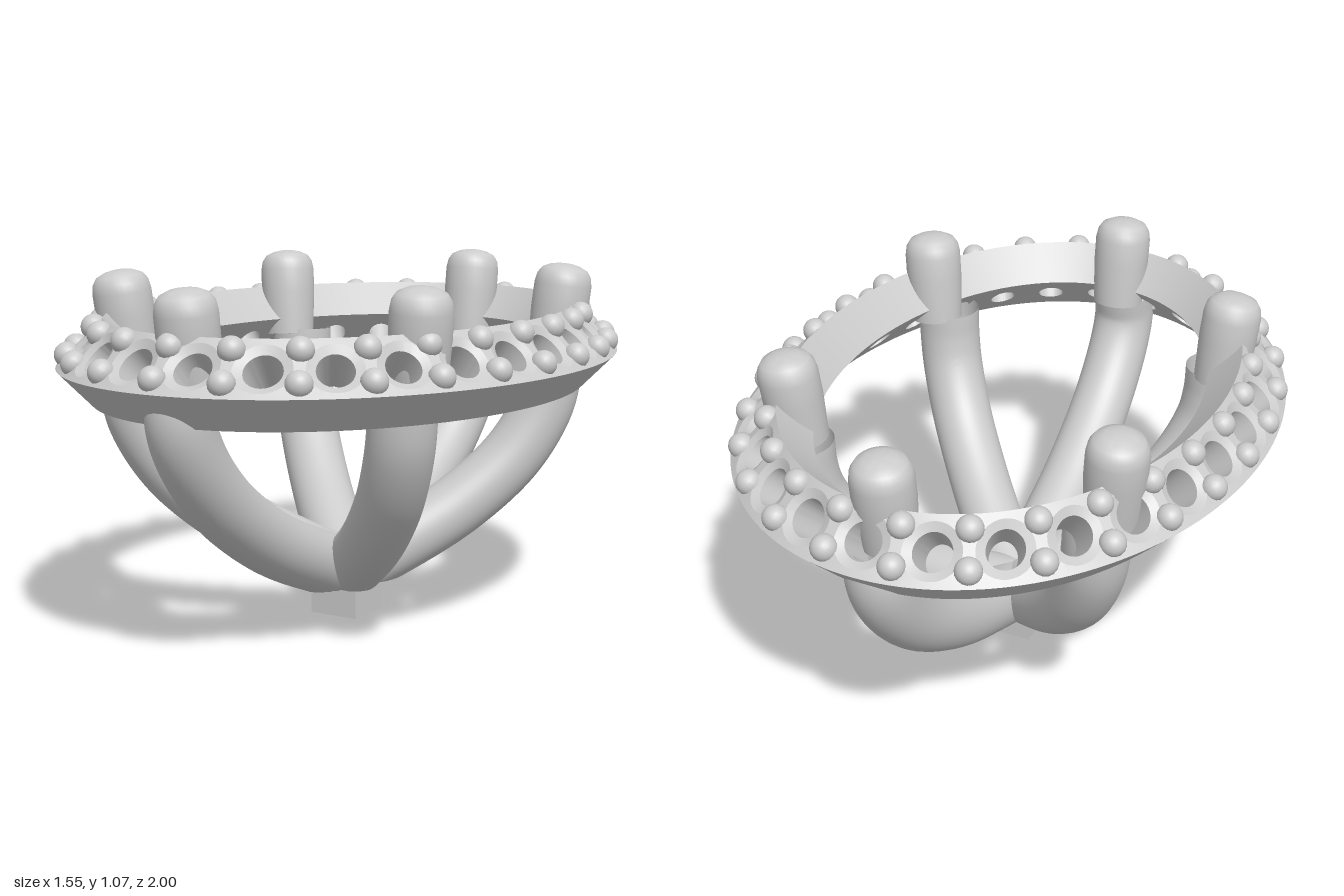
import * as THREE from 'three';
import { toCreasedNormals } from 'three/addons/utils/BufferGeometryUtils.js';

const A = 0.775, B = 1.0;            // half axes of the widest edge of the halo
const CELLS = 27;                    // gem seats around the halo
const UP = new THREE.Vector3(0, 1, 0);
const material = new THREE.MeshStandardMaterial({ color: 0xcccccc, side: THREE.DoubleSide });

// Table of equal arc-length angles on the middle ellipse, measured from the front
const STEPS = 2000;
const arc = [0];
for (let i = 1; i <= STEPS; i++) {
  const t = ((i - 0.5) / STEPS) * Math.PI * 2;
  arc.push(arc[i - 1] + Math.hypot((A - 0.07) * Math.cos(t), (B - 0.07) * Math.sin(t)) * Math.PI * 2 / STEPS);
}
const LENGTH = arc[STEPS];

function angleAt(fraction) {
  const turns = Math.floor(fraction);
  const s = (fraction - turns) * LENGTH;
  let lo = 0, hi = STEPS;
  while (hi - lo > 1) {
    const mid = (lo + hi) >> 1;
    if (arc[mid] <= s) lo = mid; else hi = mid;
  }
  return (turns + (lo + (s - arc[lo]) / (arc[hi] - arc[lo])) / STEPS) * Math.PI * 2;
}

// Point on the halo: w runs up the sloping face, h runs into the metal
function haloPoint(fraction, w, h) {
  const t = angleAt(fraction);
  const d = 0.07 + (w + h) * Math.SQRT1_2;
  return new THREE.Vector3((A - d) * Math.sin(t), 0.88 + (w - h) * Math.SQRT1_2, (B - d) * Math.cos(t));
}

function haloNormal(fraction) {
  const t = angleAt(fraction);
  return new THREE.Vector3(Math.sin(t) / A, 0, Math.cos(t) / B).normalize().add(UP).normalize();
}

function add(parent, name, geometry) {
  const mesh = new THREE.Mesh(geometry, material);
  mesh.name = name;
  parent.add(mesh);
  return mesh;
}

// Halo band: each cell is a block with a shallow seat and a through hole
function haloGeometry() {
  const N = 32, HALF = 0.099, DEPTH = 0.1414;
  const loops = [[0, 0], [0, 0.08], [0.012, 0.054], [DEPTH, 0.046], [DEPTH, 0]]; // [depth, radius], 0 = cell border
  const positions = [], indices = [];
  for (let c = 0; c < CELLS; c++) {
    const start = positions.length / 3;
    for (const [h, r] of loops) {
      for (let j = 0; j < N; j++) {
        const u = Math.cos(j / N * Math.PI * 2), v = Math.sin(j / N * Math.PI * 2);
        const m = Math.max(Math.abs(u), Math.abs(v));
        const f = r ? r * u / LENGTH : 0.5 * u / m / CELLS;
        const p = haloPoint((c + 0.5) / CELLS + f, r ? r * v : HALF * v / m, h);
        positions.push(p.x, p.y, p.z);
      }
    }
    for (let k = 0; k < loops.length; k++) {
      for (let j = 0; j < N; j++) {
        // the last loop joins the first only along the two long walls
        if (k === loops.length - 1 && !(j % 16 >= 4 && j % 16 < 12)) continue;
        const k2 = (k + 1) % loops.length, j2 = (j + 1) % N;
        const a = start + k * N + j, b = start + k * N + j2;
        const e = start + k2 * N + j2, d = start + k2 * N + j;
        indices.push(a, b, d, b, e, d);
      }
    }
  }
  const g = new THREE.BufferGeometry();
  g.setAttribute('position', new THREE.Float32BufferAttribute(positions, 3));
  g.setIndex(indices);
  return toCreasedNormals(g, 0.4);
}

// Curved leg from the centre to a prong, cut flat where it meets the base
const LONG_LEG = [[0, 0.132], [0.17, 0.193], [0.43, 0.305], [0.67, 0.465], [0.805, 0.62], [0.845, 0.72], [0.835, 0.81]];
const SHORT_LEG = [[0, 0.132], [0.15, 0.2], [0.36, 0.32], [0.535, 0.47], [0.63, 0.62], [0.655, 0.72], [0.66, 0.81]];

function legGeometry(profile, angle) {
  const curve = new THREE.CatmullRomCurve3(profile.map(([r, y]) =>
    new THREE.Vector3(r * Math.sin(angle), y, r * Math.cos(angle))));
  const g = new THREE.TubeGeometry(curve, 64, 0.097, 40);
  const p = g.attributes.position;
  for (let i = 0; i < p.count; i++) p.setY(i, Math.max(p.getY(i), 0.1));
  return toCreasedNormals(g, 0.25);
}

// Prong: slight taper with a softly domed tip
function prongGeometry() {
  const profile = [[0, 0], [0.08, 0], [0.088, 0.14], [0.088, 0.215], [0.083, 0.243],
    [0.07, 0.263], [0.045, 0.275], [0.02, 0.28], [0, 0.281]].map(([r, y]) => new THREE.Vector2(r, y));
  return toCreasedNormals(new THREE.LatheGeometry(profile, 32), 0.6);
}

export function createModel() {
  const model = new THREE.Group();
  model.name = 'stoneSetting';

  add(model, 'halo', haloGeometry());

  // Two rows of beads between the gem seats
  const beads = new THREE.Group();
  beads.name = 'beads';
  model.add(beads);
  const bead = new THREE.CapsuleGeometry(0.038, 0.03, 6, 16);
  bead.translate(0, -0.015, 0);
  for (let i = 0; i < CELLS; i++) {
    const normal = haloNormal(i / CELLS);
    for (const [name, w] of [['outerBead', -0.05], ['innerBead', 0.061]]) {
      const mesh = add(beads, name, bead);
      mesh.position.copy(haloPoint(i / CELLS, w, 0));
      mesh.quaternion.setFromUnitVectors(UP, normal);
    }
  }

  // Six legs, each carrying a prong that leans slightly outward
  const prong = prongGeometry();
  for (const turn of [0, 1, 3, 4, 5, 7]) {
    const angle = turn * Math.PI / 4;
    const long = turn % 4 === 0;
    add(model, 'leg', legGeometry(long ? LONG_LEG : SHORT_LEG, angle));

    const out = new THREE.Vector3(Math.sin(angle), 0, Math.cos(angle));
    const mesh = add(model, 'prong', prong);
    if (long) mesh.position.set(0, 0.793, 0.785 * out.z);
    else mesh.position.set(0.49 * Math.sign(out.x), 0.793, 0.425 * Math.sign(out.z));
    mesh.quaternion.setFromUnitVectors(UP, out.multiplyScalar(0.13).add(UP).normalize());
  }

  // Small square foot
  const foot = add(model, 'foot', new THREE.BoxGeometry(0.16, 0.12, 0.16));
  foot.position.y = 0.06;

  return model;
}
